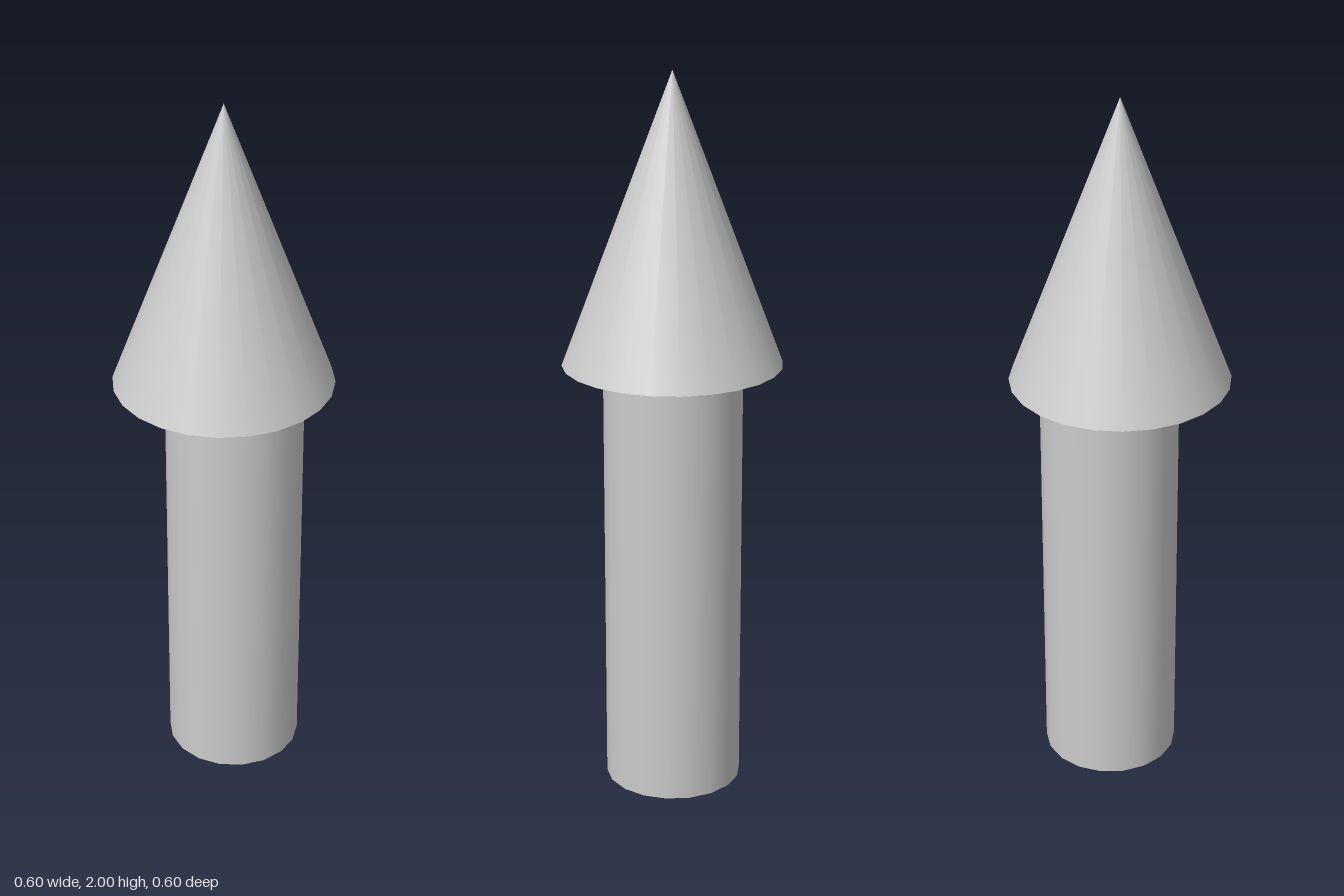
import * as THREE from 'three';

export function createModel() {
  const model = new THREE.Group();
  const material = new THREE.MeshStandardMaterial({ color: 0xcccccc });
  const baseY = 1.205; // underside of the head

  const add = (name, geometry, x, y) => {
    const mesh = new THREE.Mesh(geometry, material);
    mesh.name = name;
    mesh.position.set(x, y, 0);
    model.add(mesh);
  };

  // Shaft, set slightly off the axis of the head
  add('shaft', new THREE.CylinderGeometry(0.19, 0.19, baseY, 18), 0.033, baseY / 2);

  // Pointed head with a closed base
  add('head', new THREE.ConeGeometry(0.301, 2 - baseY, 24), 0, (2 + baseY) / 2);

  return model;
}
